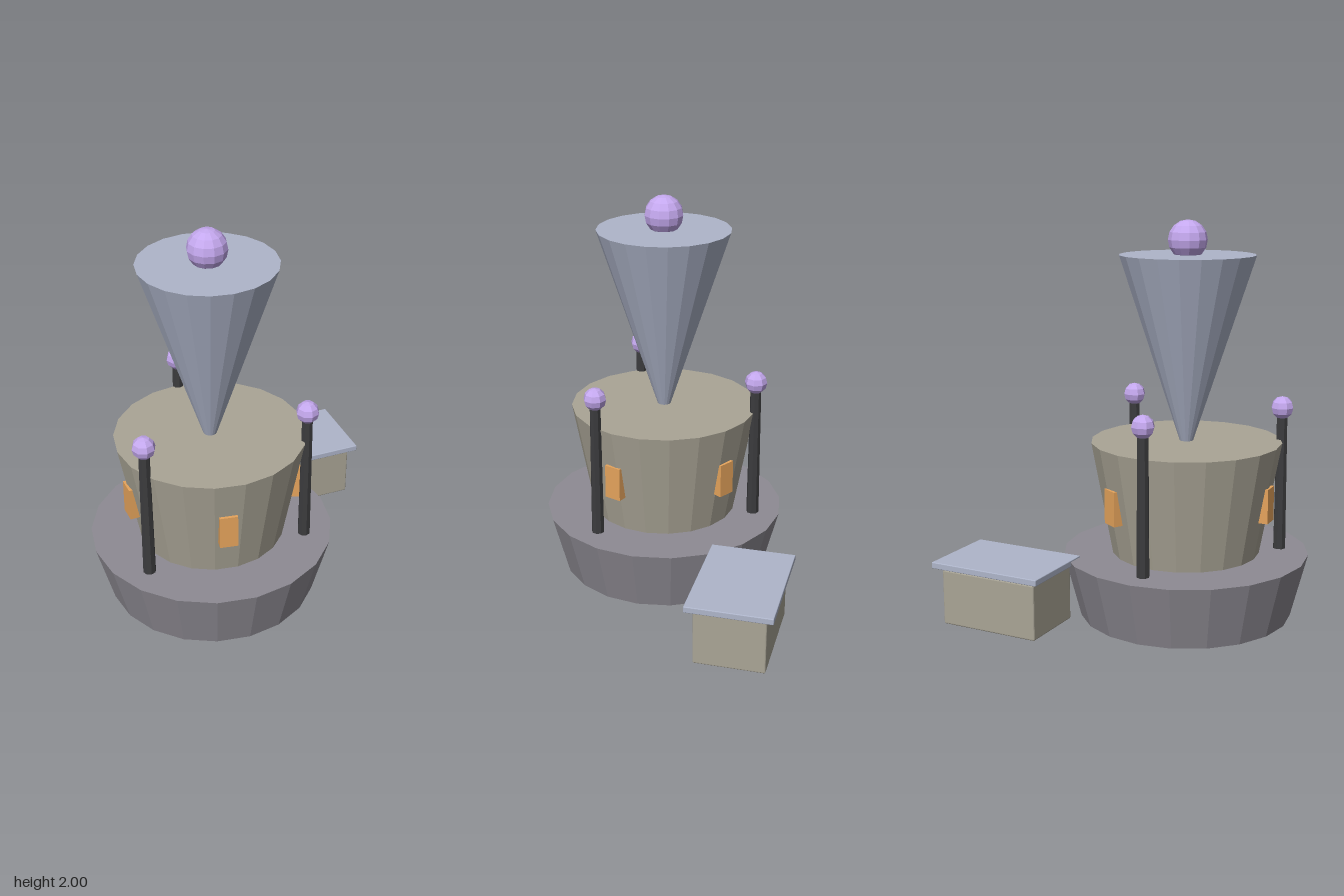
import * as THREE from 'three';
import { RoundedBoxGeometry } from 'three/addons/geometries/RoundedBoxGeometry.js';

const mat = (color) => new THREE.MeshStandardMaterial({ color, flatShading: true });
const STONE = mat(0x8e8b93), WALL = mat(0xaaa596), SLATE = mat(0xaeb5ca);
const CRYSTAL = mat(0xc4a8ee), IRON = mat(0x3c3c3e), AMBER = mat(0xe6a45c);

function add(parent, name, geometry, material, x, y, z) {
  const mesh = new THREE.Mesh(geometry, material);
  mesh.name = name;
  mesh.position.set(x, y, z);
  parent.add(mesh);
  return mesh;
}

// Tapered 20-sided drum from y0 to y1 on the tower axis
function drum(parent, name, rBottom, rTop, y0, y1, material) {
  return add(parent, name, new THREE.CylinderGeometry(rTop, rBottom, y1 - y0, 20), material, 0, (y0 + y1) / 2, 0);
}

export function createModel() {
  const model = new THREE.Group();
  model.name = 'tower';

  // Round tower, widening upwards
  const keep = new THREE.Group();
  keep.name = 'keep';
  keep.position.set(-0.2, 0, 0.08);
  model.add(keep);
  drum(keep, 'base', 0.54, 0.625, 0, 0.325, STONE);
  drum(keep, 'towerWall', 0.375, 0.482, 0.325, 0.9, WALL);
  drum(keep, 'invertedSpire', 0.034, 0.339, 0.9, 1.83, SLATE);
  add(keep, 'topOrb', new THREE.SphereGeometry(0.098, 12, 8), CRYSTAL, 0, 1.902, 0);

  // Windows facing outwards around the wall
  for (const a of [0.355, 1.735, 3.1, 5.25]) {
    const pane = add(keep, 'window', new THREE.BoxGeometry(0.09, 0.175, 0.056), AMBER,
      0.426 * Math.cos(a), 0.613, 0.426 * Math.sin(a));
    pane.rotation.y = Math.PI / 2 - a;
  }

  // Three lamp posts standing through the base
  for (let i = 0; i < 3; i++) {
    const a = Math.PI / 6 + (i * Math.PI * 2) / 3;
    const post = new THREE.Group();
    post.name = 'lampPost';
    post.position.set(0.484 * Math.cos(a), 0, 0.484 * Math.sin(a));
    keep.add(post);
    add(post, 'shaft', new THREE.CylinderGeometry(0.028, 0.035, 1.01, 8), IRON, 0, 0.505, 0);
    add(post, 'lampOrb', new THREE.SphereGeometry(0.058, 8, 6), CRYSTAL, 0, 1.062, 0);
  }

  // Shed beside the base, its flat roof slightly above the walls
  const shed = new THREE.Group();
  shed.name = 'shed';
  shed.position.set(0.52, 0, -0.492);
  model.add(shed);
  add(shed, 'shedBody', new RoundedBoxGeometry(0.53, 0.282, 0.352, 2, 0.008), WALL, 0, 0.147, 0);
  add(shed, 'shedRoof', new RoundedBoxGeometry(0.604, 0.032, 0.425, 2, 0.004), SLATE, 0, 0.317, 0);

  return model;
}
